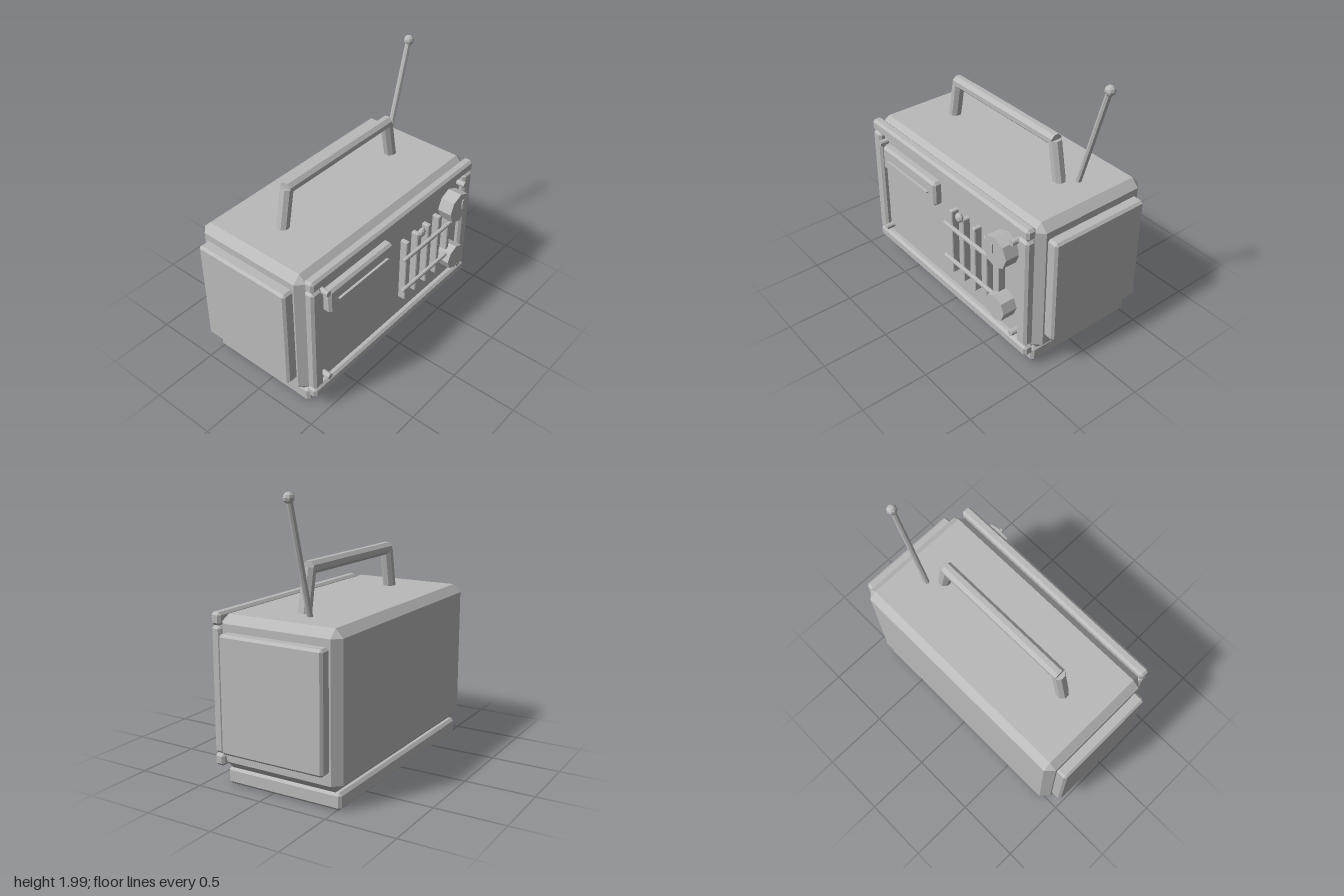
import * as THREE from 'three';
import { ConvexGeometry } from 'three/addons/geometries/ConvexGeometry.js';

export function createModel() {
  const root = new THREE.Group();
  root.name = 'portableRadio';
  const grey = new THREE.MeshStandardMaterial({ color: 0xbababa, flatShading: true });
  grey.name = 'plain grey';

  const add = (name, geometry, x = 0, y = 0, z = 0) => {
    const mesh = new THREE.Mesh(geometry, grey);
    mesh.name = name;
    mesh.position.set(x, y, z);
    root.add(mesh);
    return mesh;
  };

  // Box with every edge chamfered by c, given by its extents
  const chamferBox = (name, x0, x1, y0, y1, z0, z1, c) => {
    const a = (x1 - x0) / 2, b = (y1 - y0) / 2, d = (z1 - z0) / 2;
    const points = [];
    for (const sx of [-1, 1]) for (const sy of [-1, 1]) for (const sz of [-1, 1]) {
      points.push(
        new THREE.Vector3(sx * a, sy * (b - c), sz * (d - c)),
        new THREE.Vector3(sx * (a - c), sy * b, sz * (d - c)),
        new THREE.Vector3(sx * (a - c), sy * (b - c), sz * d));
    }
    return add(name, new ConvexGeometry(points), (x0 + x1) / 2, (y0 + y1) / 2, (z0 + z1) / 2);
  };

  // Straight prism between two points; spin turns the polygon about its axis
  const rod = (name, from, to, radius, sides, spin = 0) => {
    const a = new THREE.Vector3(...from), b = new THREE.Vector3(...to);
    const dir = b.clone().sub(a);
    const geometry = new THREE.CylinderGeometry(radius, radius, dir.length(), sides);
    geometry.rotateY(spin);
    const mesh = add(name, geometry);
    mesh.position.copy(a).add(b).multiplyScalar(0.5);
    mesh.quaternion.setFromUnitVectors(new THREE.Vector3(0, 1, 0), dir.normalize());
    return mesh;
  };

  // Case, base and side panels
  chamferBox('body', -0.92, 0.92, 0.125, 1.185, -0.55, 0.375, 0.057);
  chamferBox('base', -0.865, 0.865, 0, 0.12, -0.53, 0.36, 0.02);
  for (const s of [-1, 1]) {
    const [x0, x1] = s < 0 ? [-1, -0.9] : [0.9, 1];
    chamferBox(s < 0 ? 'rightSidePanel' : 'leftSidePanel', x0, x1, 0.26, 1.075, -0.48, 0.305, 0.017);
  }

  // Front panel and its raised frame
  add('frontPanel', new THREE.BoxGeometry(1.66, 0.88, 0.05), 0, 0.655, 0.385);
  chamferBox('frameTop', -0.893, 0.893, 1.098, 1.187, 0.375, 0.452, 0.018);
  chamferBox('frameBottom', -0.893, 0.893, 0.123, 0.21, 0.375, 0.452, 0.018);
  chamferBox('framePostRight', -0.893, -0.797, 0.212, 1.095, 0.375, 0.452, 0.018);
  chamferBox('framePostLeft', 0.79, 0.89, 0.212, 1.095, 0.375, 0.452, 0.018);

  // Corner screws
  for (const x of [-0.765, 0.765]) for (const y of [0.27, 1.04]) {
    rod('screw', [x, y, 0.4], [x, y, 0.478], 0.022, 10);
  }

  // Cassette door with slot
  chamferBox('cassetteDoor', -0.745, -0.085, 0.835, 1.03, 0.39, 0.47, 0.018);
  add('cassetteSlot', new THREE.BoxGeometry(0.51, 0.011, 0.05), -0.41, 0.932, 0.463);

  // Speaker grille
  for (let i = 0; i < 5; i++) {
    const x = 0.097 + i * 0.128;
    chamferBox('grilleUpright', x - 0.018, x + 0.018, 0.37, 0.91, 0.4, 0.467, 0.006);
  }
  for (const y of [0.498, 0.785]) {
    chamferBox('grilleRail', 0.035, 0.67, y - 0.014, y + 0.014, 0.462, 0.49, 0.006);
  }
  const slider = add('sliderKnob', new THREE.SphereGeometry(0.036, 8, 6), 0.225, 0.932, 0.485);
  slider.scale.z = 0.7;

  // Eight-sided dials and pointer
  for (const [name, y, r] of [['tuningDial', 0.918, 0.12], ['volumeDial', 0.447, 0.1]]) {
    rod(name, [0.65, y, 0.39], [0.65, y, 0.522], r, 8);
  }
  add('dialPointer', new THREE.BoxGeometry(0.02, 0.072, 0.009), 0.65, 0.964, 0.543);

  // Carrying handle
  const hz = -0.087, r = 0.047, spin = Math.PI / 8;
  rod('handleGrip', [-0.537, 1.475, hz], [0.537, 1.475, hz], r, 8, spin);
  for (const s of [-1, 1]) {
    rod('handleLeg', [s * 0.587, 1.15, hz], [s * 0.525, 1.475, hz], r, 8, spin);
  }

  // Aerial
  rod('aerial', [0.655, 1.14, -0.182], [0.887, 1.95, -0.182], 0.021, 8);
  add('aerialTip', new THREE.SphereGeometry(0.037, 8, 6), 0.89, 1.955, -0.182);

  return root;
}
